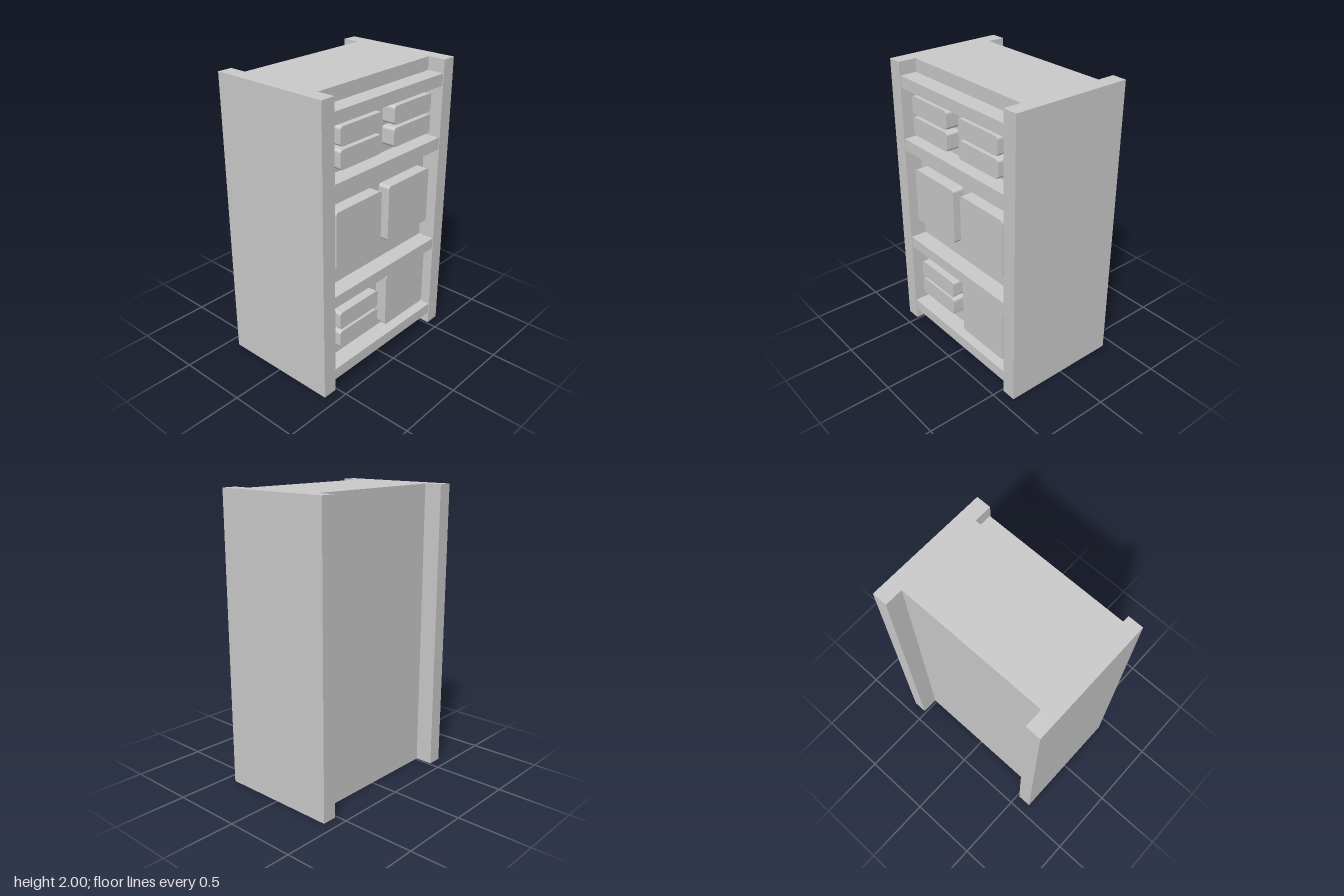
import * as THREE from 'three';

const material = new THREE.MeshStandardMaterial({ color: 0xcccccc, flatShading: true });

const WALL = 0.3;     // half thickness of the core
const EDGE = 0.423;   // half width of the end panels
const INNER = 0.515;  // inner z of the end panels
const OUTER = 0.617;  // outer z of the end panels

function add(group, name, geometry) {
  const mesh = new THREE.Mesh(geometry, material);
  mesh.name = name;
  group.add(mesh);
  return mesh;
}

// Rounded rectangle block standing out of the +x wall
function blockGeometry(z0, z1, y0, y1, face) {
  const r = 0.02, a = -z1, b = -z0;
  const s = new THREE.Shape();
  s.moveTo(a + r, y0);
  s.lineTo(b - r, y0);
  s.absarc(b - r, y0 + r, r, -Math.PI / 2, 0);
  s.lineTo(b, y1 - r);
  s.absarc(b - r, y1 - r, r, 0, Math.PI / 2);
  s.lineTo(a + r, y1);
  s.absarc(a + r, y1 - r, r, Math.PI / 2, Math.PI);
  s.lineTo(a, y0 + r);
  s.absarc(a + r, y0 + r, r, Math.PI, Math.PI * 1.5);
  const back = WALL - 0.01;
  const g = new THREE.ExtrudeGeometry(s, { depth: face - back, bevelEnabled: false, curveSegments: 5 });
  return g.rotateY(Math.PI / 2).translate(back, 0, 0);
}

export function createModel() {
  const model = new THREE.Group();
  model.name = 'cabinet';

  // H-shaped case: core with two wider end panels
  const profile = new THREE.Shape([
    [-EDGE, -OUTER], [EDGE, -OUTER], [EDGE, -INNER], [WALL, -INNER],
    [WALL, INNER], [EDGE, INNER], [EDGE, OUTER], [-EDGE, OUTER],
    [-EDGE, INNER], [-WALL, INNER], [-WALL, -INNER], [-EDGE, -INNER],
  ].map(([x, y]) => new THREE.Vector2(x, y)));
  const caseGeometry = new THREE.ExtrudeGeometry(profile, { depth: 2, bevelEnabled: false });
  add(model, 'case', caseGeometry.rotateX(-Math.PI / 2));

  // Horizontal rails across the open side
  const rails = new THREE.Group();
  rails.name = 'rails';
  model.add(rails);
  for (const [y0, y1] of [[0.082, 0.162], [0.635, 0.715], [1.392, 1.475], [1.83, 1.91]]) {
    const rail = add(rails, 'rail', new THREE.BoxGeometry(0.418 - WALL, y1 - y0, INNER * 2));
    rail.position.set((0.418 + WALL) / 2, (y0 + y1) / 2, 0);
  }

  // Small and large blocks between the rails
  const blocks = new THREE.Group();
  blocks.name = 'blocks';
  model.add(blocks);
  const small = (side, y0, y1) =>
    add(blocks, 'smallBlock', blockGeometry(...(side > 0 ? [0.062, 0.435] : [-0.43, -0.057]), y0, y1, 0.395));
  const large = (side, y0, y1) =>
    add(blocks, 'largeBlock', blockGeometry(...(side > 0 ? [0.037, 0.462] : [-0.462, -0.037]), y0, y1, 0.386));

  for (const side of [1, -1]) {
    small(side, 1.675, 1.797);
    small(side, 1.53, 1.655);
    large(side, 0.872, 1.266);
  }
  small(1, 0.423, 0.546);
  small(1, 0.278, 0.402);
  large(-1, 0.21, 0.604);

  return model;
}
